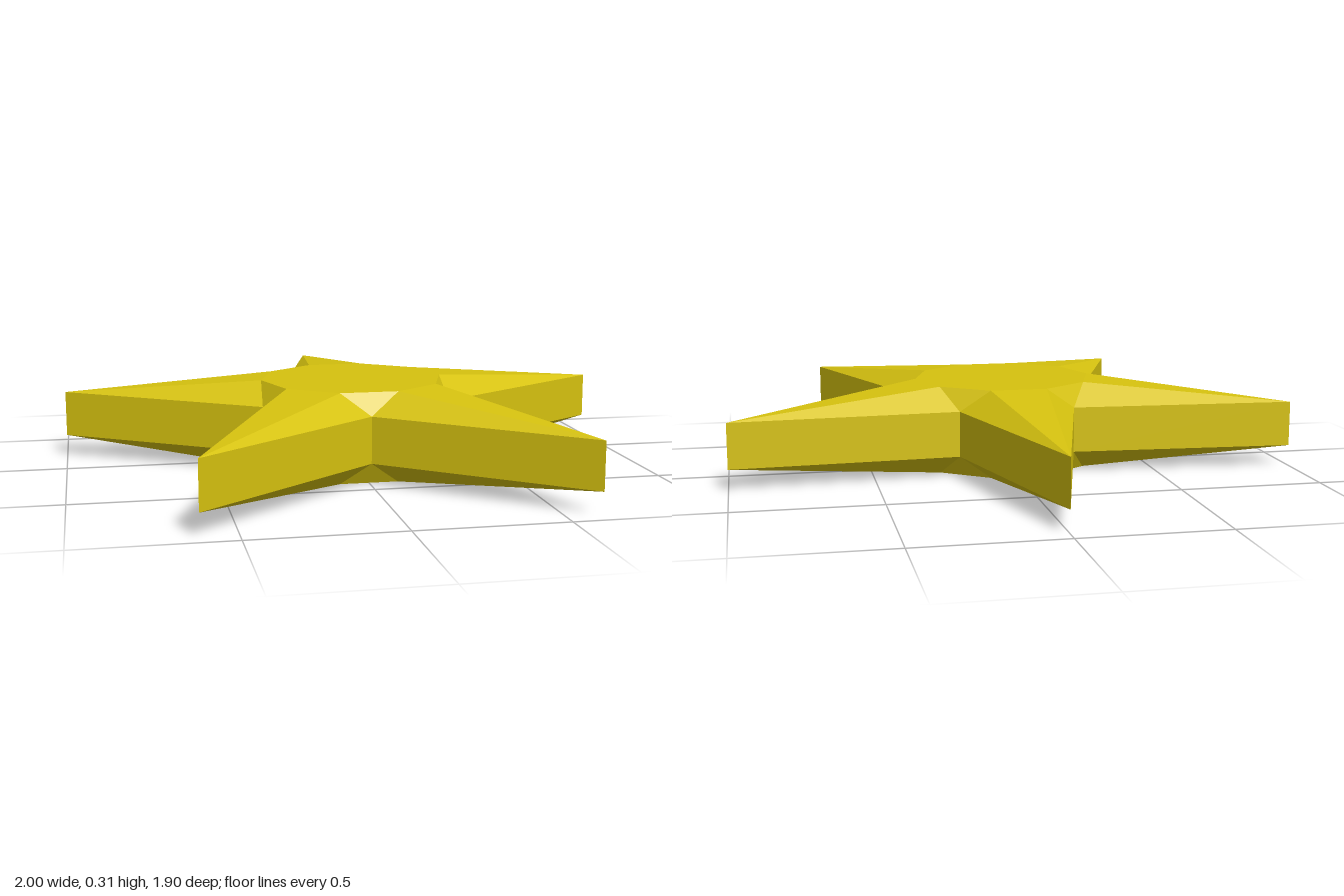
import * as THREE from 'three';

const TIP = 1.051, VALLEY = 0.348, PLATE = 0.322; // radii
const HEIGHT = 0.31, EDGE_LOW = 0.075, EDGE_HIGH = 0.235;
const CENTRE_Z = 0.1;

// Point at a clockwise angle (degrees, 0 = back) around the star's centre
function at(angle, radius, y) {
  const a = THREE.MathUtils.degToRad(angle);
  return [radius * Math.sin(a), y, CENTRE_Z - radius * Math.cos(a)];
}

function makeMesh(name, triangles, material) {
  const geometry = new THREE.BufferGeometry();
  geometry.setAttribute('position', new THREE.Float32BufferAttribute(triangles.flat(2), 3));
  geometry.computeVertexNormals();
  const mesh = new THREE.Mesh(geometry, material);
  mesh.name = name;
  return mesh;
}

// Bevelled face: flat ten-sided plate, five ridged arms and the valleys between
function faceTriangles(plateY, edgeY) {
  const triangles = [];
  for (let i = 0; i < 5; i++) {
    const a = i * 72;
    const centre = at(0, 0, plateY), tip = at(a, TIP, edgeY);
    const left = at(a - 18, PLATE, plateY), right = at(a + 18, PLATE, plateY);
    const next = at(a + 54, PLATE, plateY);
    const valleyL = at(a - 36, VALLEY, edgeY), valleyR = at(a + 36, VALLEY, edgeY);
    triangles.push(
      [centre, right, left], [centre, next, right], // plate
      [left, right, tip],                           // arm ridge
      [right, valleyR, tip], [left, tip, valleyL],  // arm flanks
      [right, next, valleyR]                        // valley
    );
  }
  return triangles;
}

// Upright wall following the star outline
function rimTriangles() {
  const triangles = [];
  for (let i = 0; i < 10; i++) {
    const radius = k => (k % 2 ? VALLEY : TIP);
    const corner = (k, y) => at(k * 36, radius(k), y);
    const a = corner(i + 1, EDGE_LOW), b = corner(i, EDGE_LOW);
    const c = corner(i, EDGE_HIGH), d = corner(i + 1, EDGE_HIGH);
    triangles.push([a, b, c], [a, c, d]);
  }
  return triangles;
}

export function createModel() {
  const group = new THREE.Group();
  group.name = 'star';
  const material = new THREE.MeshStandardMaterial({ color: 0xd6c20f, flatShading: true });

  group.add(makeMesh('topFace', faceTriangles(HEIGHT, EDGE_HIGH), material));
  // The underside is the same face mirrored, so its corners run the other way
  const under = faceTriangles(0, EDGE_LOW).map(t => [...t].reverse());
  group.add(makeMesh('bottomFace', under, material));
  group.add(makeMesh('rim', rimTriangles(), material));
  return group;
}
